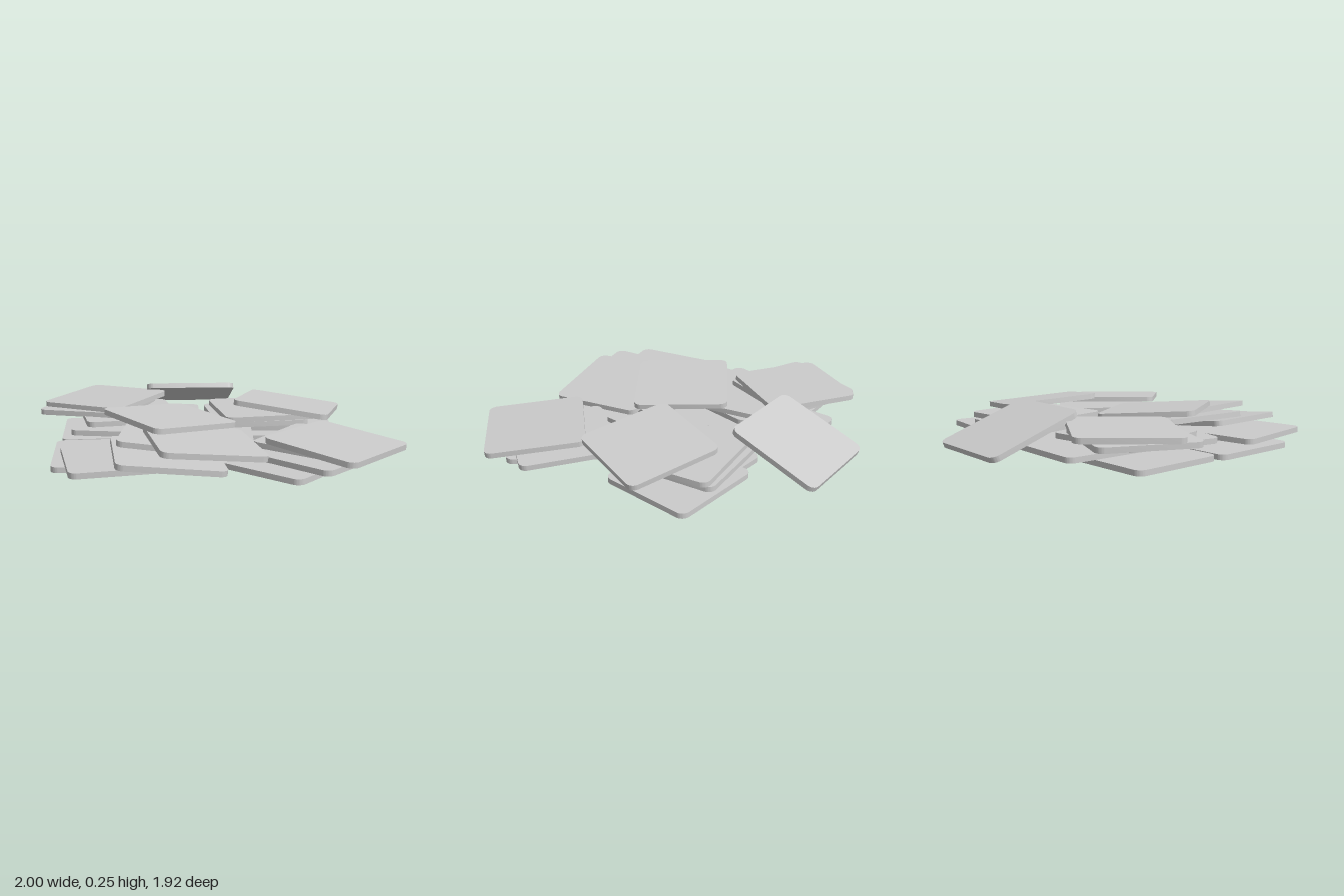
import * as THREE from 'three';
import { toCreasedNormals } from 'three/addons/utils/BufferGeometryUtils.js';

const SIZE = 0.55, THICK = 0.03, RADIUS = 0.045;

// Rounded square slab, lying flat and centred on its own origin
function slabGeometry() {
  const h = SIZE / 2, c = h - RADIUS;
  const s = new THREE.Shape();
  s.absarc(c, c, RADIUS, 0, Math.PI / 2);
  s.absarc(-c, c, RADIUS, Math.PI / 2, Math.PI);
  s.absarc(-c, -c, RADIUS, Math.PI, Math.PI * 1.5);
  s.absarc(c, -c, RADIUS, Math.PI * 1.5, Math.PI * 2);
  s.closePath();
  const g = new THREE.ExtrudeGeometry(s, { depth: THICK, bevelEnabled: false, curveSegments: 6 });
  g.translate(0, 0, -THICK / 2);
  g.rotateX(-Math.PI / 2);
  return toCreasedNormals(g, 0.6);
}

// Each slab: x, y, z of centre, turn in degrees (clockwise from above), rise along x, rise along z
const piles = {
  backLeftSlab: [
    [-0.59, 0.016, -0.21, -3, 0, 0],
    [-0.315, 0.055, -0.395, 0, 0, 0],
    [-0.48, 0.09, -0.07, 9.6, 0, 0],
    [-0.48, 0.12, -0.22, -11, 0, 0],
    [-0.66, 0.148, -0.33, 20, 0.02, 0],
    [-0.62, 0.18, -0.36, 31, 0.03, -0.01],
  ],
  backRightSlab: [
    [0.245, 0.016, -0.23, 4.5, 0, 0],
    [0.47, 0.052, -0.315, 4, 0, 0],
    [0.29, 0.09, -0.27, -6.5, 0, 0],
    [0.33, 0.127, -0.25, -8.5, 0, 0],
    [0.475, 0.182, -0.12, 19, -0.125, 0.035],
  ],
  frontRightSlab: [
    [0.37, 0.016, 0.54, 43, 0, 0],
    [0.535, 0.05, 0.515, 46, 0, 0],
    [0.575, 0.088, 0.43, 36, -0.03, 0],
    [0.625, 0.125, 0.59, 44.5, -0.06, -0.04],
  ],
  frontLeftSlab: [
    [-0.585, 0.016, 0.355, -3, 0, 0],
    [-0.505, 0.058, 0.575, -11, 0, 0],
    [-0.04, 0.055, 0.15, 3, 0, 0],
    [-0.255, 0.085, 0.64, -6, -0.11, 0],
    [-0.215, 0.118, 0.39, 6, -0.1, 0],
    [-0.065, 0.135, 0.585, -11, -0.11, 0],
    [-0.235, 0.18, 0.2, 55, -0.08, 0.02],
  ],
  leaningSlab: [[-0.095, 0.147, -0.7, 0, 0, 0.36]],
};

export function createModel() {
  const model = new THREE.Group();
  model.name = 'slabPile';
  const geometry = slabGeometry();
  const material = new THREE.MeshStandardMaterial({ color: 0xcccccc });
  const up = new THREE.Vector3(0, 1, 0);
  for (const [name, slabs] of Object.entries(piles)) {
    slabs.forEach(([x, y, z, turn, riseX, riseZ], i) => {
      const slab = new THREE.Mesh(geometry, material);
      slab.name = `${name}${i + 1}`;
      slab.position.set(x, y, z);
      // Turn about the vertical, then tilt onto the slab's slope
      const normal = new THREE.Vector3(-riseX, 1, -riseZ).normalize();
      const yaw = new THREE.Quaternion().setFromAxisAngle(up, -THREE.MathUtils.degToRad(turn));
      slab.quaternion.setFromUnitVectors(up, normal).multiply(yaw);
      model.add(slab);
    });
  }
  return model;
}
